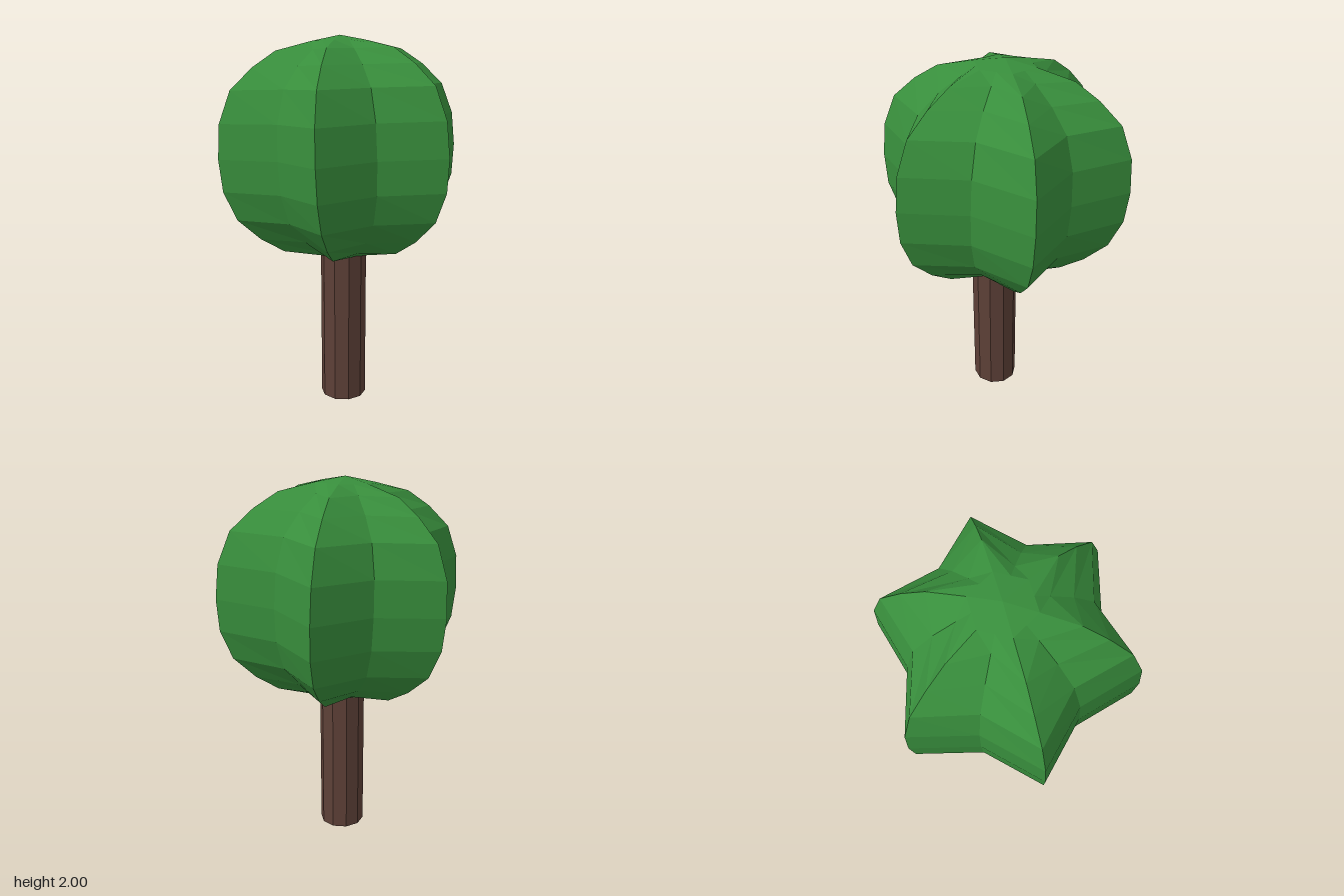
import * as THREE from 'three';

// Crown rings, bottom to top: rib radius, height from crown centre, valley/rib ratio
const RINGS = [
  [0, -0.575, 1], [0.15, -0.56, 0.866], [0.35, -0.52, 0.6], [0.475, -0.44, 0.68],
  [0.595, -0.325, 0.72], [0.66, -0.17, 0.73], [0.675, 0, 0.73], [0.66, 0.18, 0.73],
  [0.595, 0.345, 0.72], [0.475, 0.455, 0.68], [0.35, 0.535, 0.6], [0.16, 0.58, 0.866],
  [0, 0.61, 1],
];
const RIBS = 6;

function crownGeometry() {
  const profile = RINGS.map(([r, y]) => new THREE.Vector2(r, y));
  const geo = new THREE.LatheGeometry(profile, RIBS * 2);
  const pos = geo.attributes.position;
  // Pull every second column inwards to cut the valleys between the ribs
  for (let col = 1; col < RIBS * 2; col += 2) {
    RINGS.forEach(([, , ratio], j) => {
      const k = col * RINGS.length + j;
      pos.setX(k, pos.getX(k) * ratio);
      pos.setZ(k, pos.getZ(k) * ratio);
    });
  }
  geo.computeVertexNormals();
  return geo;
}

export function createModel() {
  const tree = new THREE.Group();
  tree.name = 'tree';
  const flat = (color) => new THREE.MeshStandardMaterial({ color, flatShading: true });

  // Ribbed crown, leaning slightly backwards
  const crown = new THREE.Mesh(crownGeometry(), flat(0x388e3c));
  crown.name = 'crown';
  crown.position.y = 1.39;
  crown.rotation.x = -0.035;
  tree.add(crown);

  // Ten-sided trunk, slightly off centre, ending inside the crown
  const trunkHeight = 0.95;
  const trunk = new THREE.Mesh(
    new THREE.CylinderGeometry(0.125, 0.125, trunkHeight, 10), flat(0x5d4037));
  trunk.name = 'trunk';
  trunk.position.set(-0.03, trunkHeight / 2, 0.03);
  tree.add(trunk);

  return tree;
}
